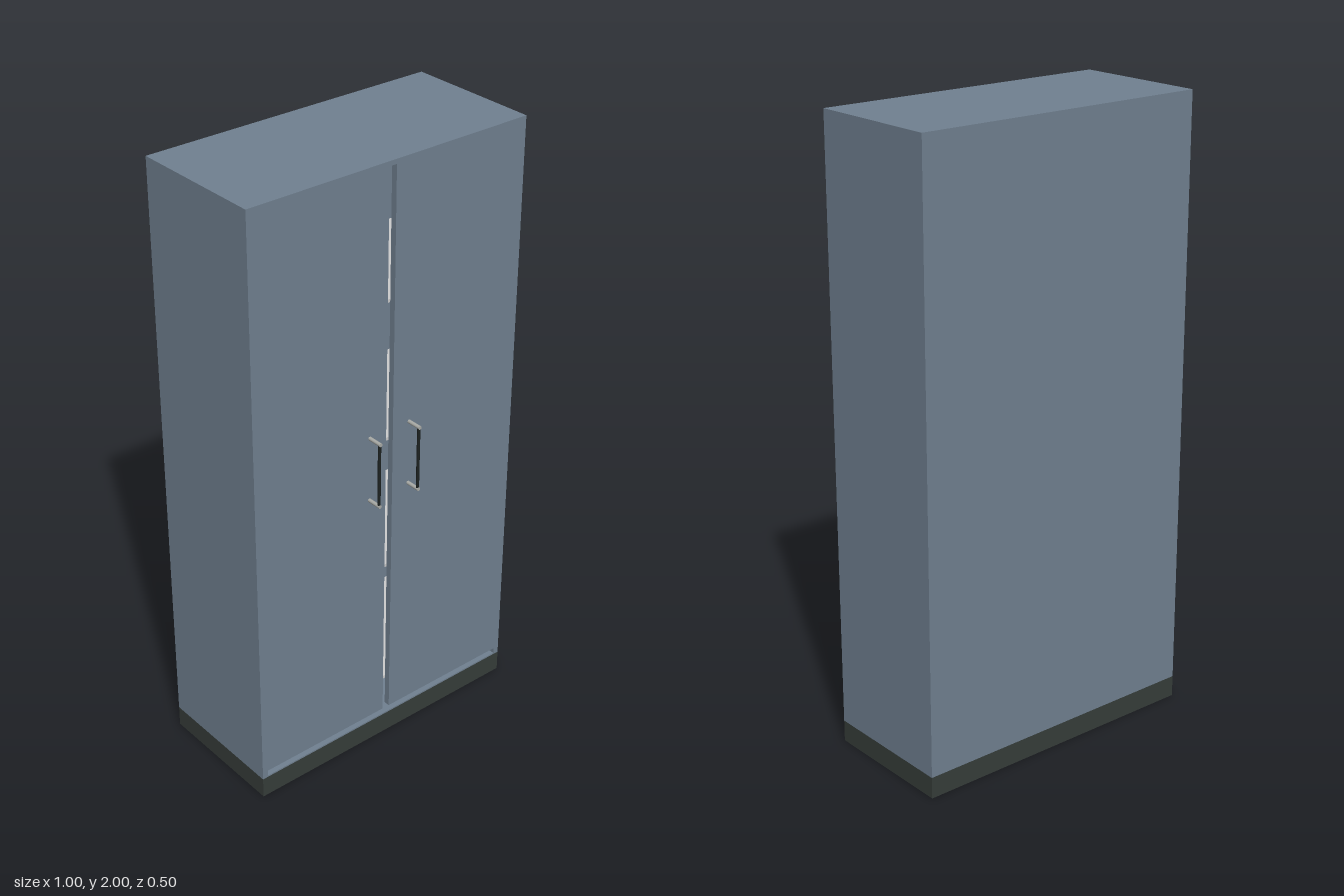
import * as THREE from 'three';

const slate = new THREE.MeshStandardMaterial({ color: 0x708090 });
const dark = new THREE.MeshStandardMaterial({ color: 0x363d3a });
const black = new THREE.MeshStandardMaterial({ color: 0x1c2120 });
const pale = new THREE.MeshStandardMaterial({ color: 0xcccccc });
const metal = new THREE.MeshStandardMaterial({ color: 0xa8aaa6 });

// Box given by its minimum and maximum corners
function slab(name, material, [x0, y0, z0], [x1, y1, z1]) {
  const mesh = new THREE.Mesh(new THREE.BoxGeometry(x1 - x0, y1 - y0, z1 - z0), material);
  mesh.position.set((x0 + x1) / 2, (y0 + y1) / 2, (z0 + z1) / 2);
  mesh.name = name;
  return mesh;
}

// Pull handle: an upright grip on two short posts
function makeHandle(x) {
  const handle = new THREE.Group();
  handle.name = 'handle';
  const grip = new THREE.Mesh(new THREE.CylinderGeometry(0.005, 0.005, 0.206, 16), black);
  grip.name = 'handleGrip';
  grip.position.set(x, 1.038, 0.244);
  handle.add(grip);
  for (const y of [0.93, 1.146]) {
    const post = new THREE.Mesh(new THREE.CylinderGeometry(0.006, 0.006, 0.05, 16), metal);
    post.name = 'handlePost';
    post.rotation.x = Math.PI / 2;
    post.position.set(x, y, 0.225);
    handle.add(post);
  }
  return handle;
}

export function createModel() {
  const cabinet = new THREE.Group();
  cabinet.name = 'cabinet';

  // Plinth and hollow carcass
  cabinet.add(
    slab('plinth', dark, [-0.5, 0, -0.25], [0.5, 0.07, 0.2]),
    slab('floorPanel', slate, [-0.48, 0.07, -0.23], [0.48, 0.075, 0.2]),
    slab('topPanel', slate, [-0.48, 1.985, -0.25], [0.48, 2, 0.2]),
    slab('backPanel', slate, [-0.48, 0.07, -0.25], [0.48, 1.985, -0.23]),
  );

  // Side walls, doors and handles, mirrored about the centre gap
  for (const s of [-1, 1]) {
    const span = (a, b) => [Math.min(s * a, s * b), Math.max(s * a, s * b)];
    const [w0, w1] = span(0.48, 0.5);
    const [d0, d1] = span(0.013, 0.48);
    cabinet.add(
      slab('sidePanel', slate, [w0, 0.07, -0.25], [w1, 2, 0.2]),
      slab('door', slate, [d0, 0.095, 0.18], [d1, 1.985, 0.2]),
      makeHandle(s * 0.076),
    );
  }

  // Shelves seen through the gap between the doors
  for (const y of [0.2, 0.64, 1.1, 1.56]) {
    cabinet.add(slab('shelf', pale, [-0.48, y - 0.005, -0.23], [0.48, y + 0.005, 0.178]));
  }
  return cabinet;
}
